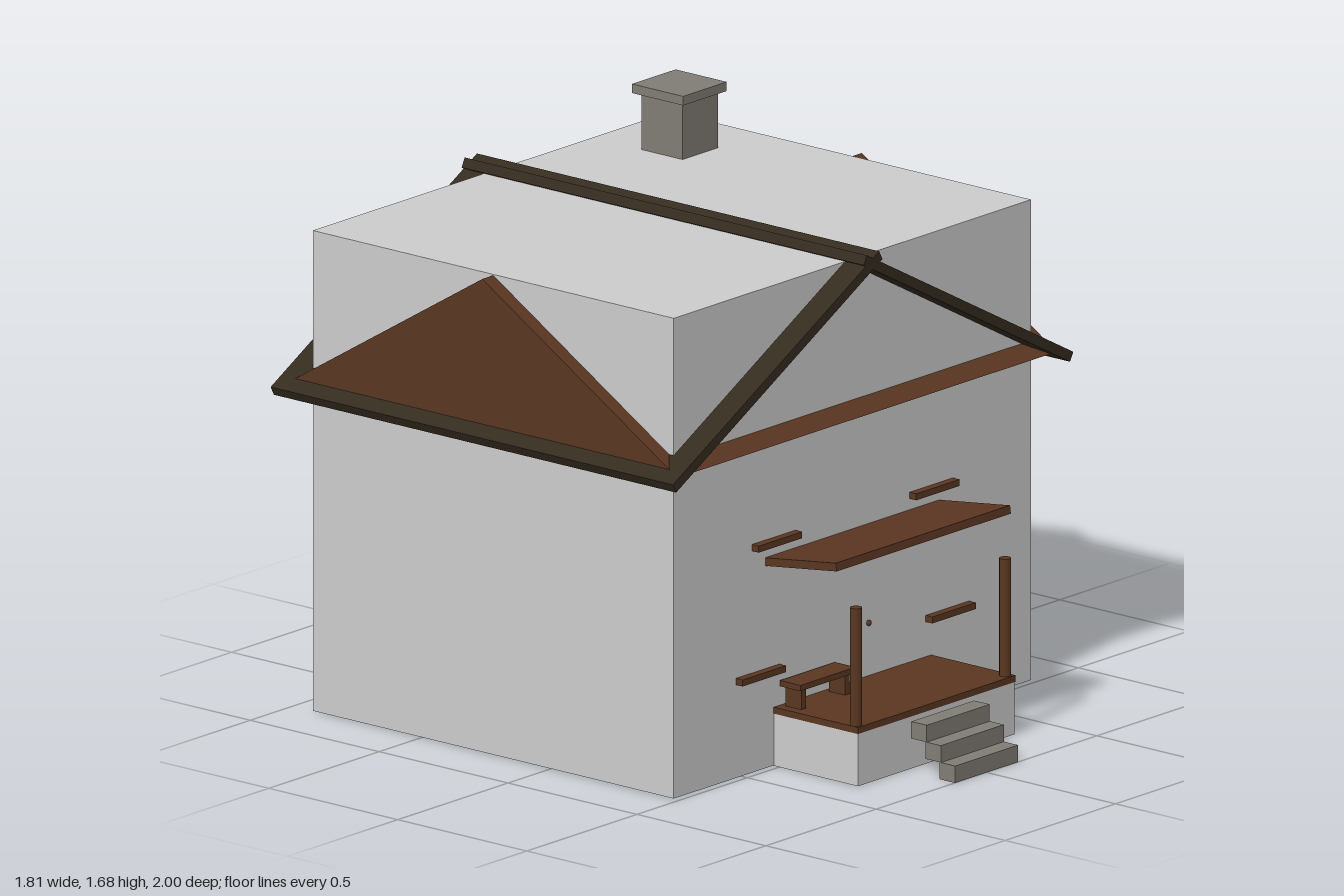
import * as THREE from 'three';

export function createModel() {
  const model = new THREE.Group();
  model.name = 'house';

  const mat = (name, color) => {
    const m = new THREE.MeshStandardMaterial({ color });
    m.name = name;
    return m;
  };
  const plaster = mat('plaster', 0xcccccc);
  const wood = mat('wood', 0x5a3621);
  const darkWood = mat('dark wood', 0x352c20);
  const stone = mat('stone', 0x807c75);

  const add = (name, geometry, material) => {
    const mesh = new THREE.Mesh(geometry, material);
    mesh.name = name;
    model.add(mesh);
    return mesh;
  };
  // box given by its lower and upper limits on each axis
  const box = (name, material, x0, x1, y0, y1, z0, z1) => {
    const mesh = add(name, new THREE.BoxGeometry(x1 - x0, y1 - y0, z1 - z0), material);
    mesh.position.set((x0 + x1) / 2, (y0 + y1) / 2, (z0 + z1) / 2);
    return mesh;
  };

  // house body on an inset stone foundation
  box('walls', plaster, -0.81, 0.81, 0.002, 1.478, -0.92, 0.48);
  box('foundation', stone, -0.79, 0.79, 0, 0.1, -0.9, 0.46);

  // wooden gable prism running across the house
  const triangle = new THREE.Shape([
    new THREE.Vector2(-0.757, 1.01),
    new THREE.Vector2(0.757, 1.01),
    new THREE.Vector2(0, 1.475),
  ]);
  const gable = new THREE.ExtrudeGeometry(triangle, { depth: 1.72, bevelEnabled: false });
  gable.translate(0, 0, -0.86).rotateY(Math.PI / 2).translate(0, 0, -0.22);
  add('gable', gable, wood);

  // two roof slabs that cross at the ridge
  const inner = new THREE.Vector2(-0.035, 1.497);
  const outer = new THREE.Vector2(0.9, 0.99);
  const run = outer.clone().sub(inner);
  for (const s of [-1, 1]) {
    const slab = add('roofSlab', new THREE.BoxGeometry(run.length(), 0.031, 1.56), darkWood);
    slab.position.set((s * (inner.x + outer.x)) / 2, (inner.y + outer.y) / 2, -0.22);
    slab.rotation.z = s * run.angle();
  }

  // chimney
  box('chimney', stone, 0.457, 0.617, 1.2, 1.652, -0.73, -0.57);
  box('chimneyCap', stone, 0.438, 0.636, 1.652, 1.68, -0.75, -0.552);

  // porch and steps
  box('porchBase', plaster, -0.355, 0.355, 0, 0.161, 0.478, 0.805);
  box('porchFloor', wood, -0.357, 0.357, 0.161, 0.181, 0.478, 0.807);
  for (let i = 0; i < 3; i++) {
    const z = 0.97 - i * 0.055;
    box('step', stone, -0.143, 0.143, i * 0.052, (i + 1) * 0.052, z - 0.03, z + 0.03);
  }

  // porch posts, window lintels and sills
  for (const s of [-1, 1]) {
    const post = add('porchPost', new THREE.CylinderGeometry(0.018, 0.018, 0.362, 12), wood);
    post.position.set(s * 0.338, 0.361, 0.783);
    const bar = (name, x, y) => {
      const m = add(name, new THREE.BoxGeometry(0.197, 0.02, 0.028), wood);
      m.position.set(s * x, y, 0.492);
    };
    bar('windowLintel', 0.357, 0.693);
    bar('windowSill', 0.43, 0.298);
  }

  // sloping porch awning
  const awning = add('awning', new THREE.BoxGeometry(0.79, 0.025, 0.28), wood);
  awning.position.set(0, 0.654, 0.616);
  awning.rotation.x = -0.13;

  // door knob
  const knob = add('doorKnob', new THREE.SphereGeometry(0.009, 12, 8), wood);
  knob.position.set(0.071, 0.344, 0.482);

  // bench
  box('benchSeat', wood, -0.34, -0.09, 0.243, 0.261, 0.489, 0.569);
  for (const x of [-0.315, -0.117]) {
    box('benchLeg', wood, x - 0.01, x + 0.01, 0.18, 0.244, 0.498, 0.56);
  }

  return model;
}
